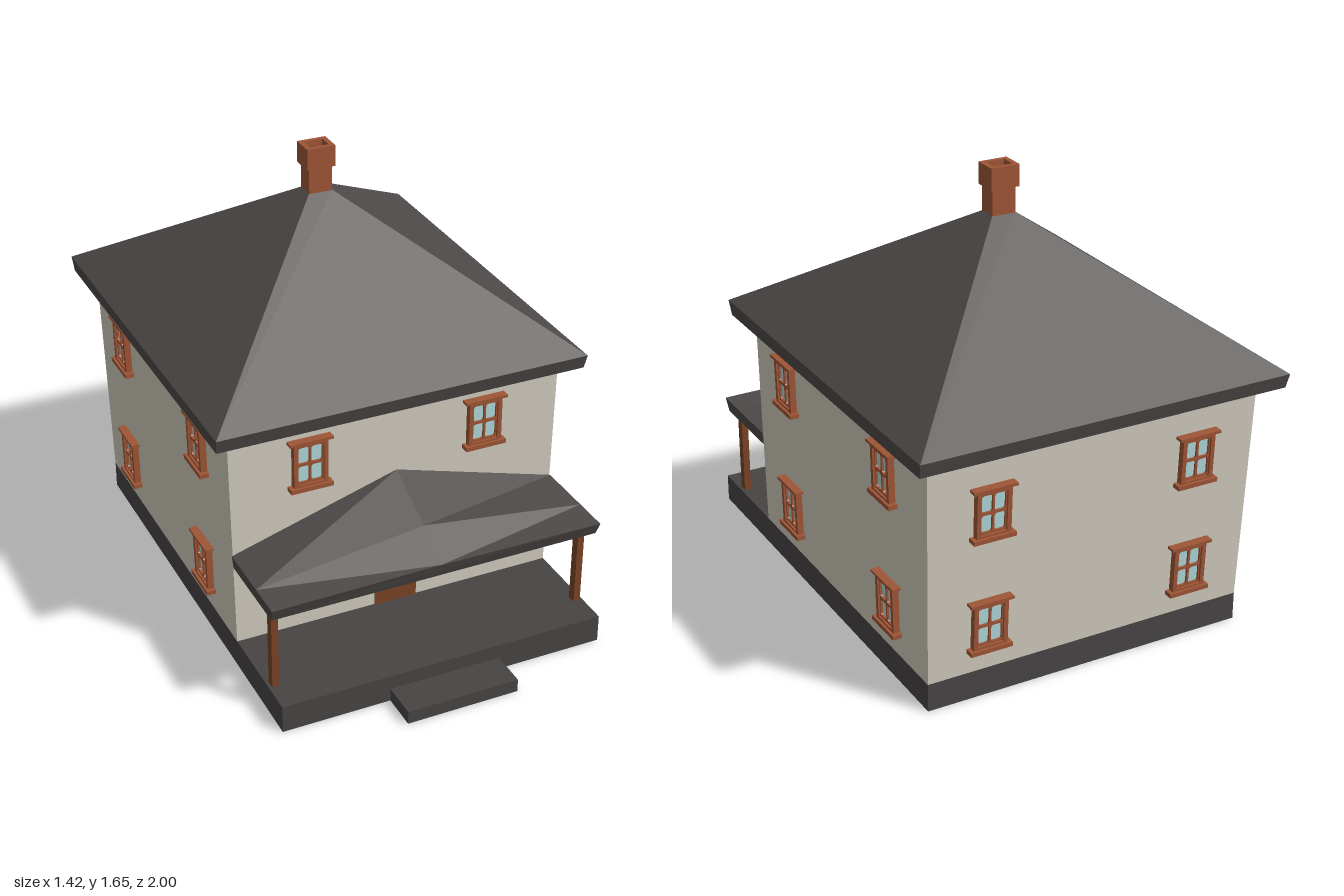
import * as THREE from 'three';

const mat = (name, color, side = THREE.FrontSide) => {
  const m = new THREE.MeshStandardMaterial({ color, side });
  m.name = name;
  return m;
};

// rounded rectangle outline, usable as a shape or a hole
function roundRect(target, cx, cy, hw, hh, r = 0) {
  const x0 = cx - hw, x1 = cx + hw, y0 = cy - hh, y1 = cy + hh;
  target.moveTo(x0 + r, y0);
  target.lineTo(x1 - r, y0);
  if (r) target.quadraticCurveTo(x1, y0, x1, y0 + r);
  target.lineTo(x1, y1 - r);
  if (r) target.quadraticCurveTo(x1, y1, x1 - r, y1);
  target.lineTo(x0 + r, y1);
  if (r) target.quadraticCurveTo(x0, y1, x0, y1 - r);
  target.lineTo(x0, y0 + r);
  if (r) target.quadraticCurveTo(x0, y0, x0 + r, y0);
  return target;
}

// flat plate with holes, extruded along +z; holes are [cx, cy, hw, hh, r]
function plate(hw, hh, depth, holes) {
  const shape = roundRect(new THREE.Shape(), 0, 0, hw, hh);
  for (const h of holes) shape.holes.push(roundRect(new THREE.Path(), ...h));
  return new THREE.ExtrudeGeometry(shape, { depth, bevelEnabled: false, curveSegments: 3 });
}

// flat-faced geometry from corner polygons, counter-clockwise from outside
function faceted(polygons) {
  const pos = [];
  for (const p of polygons)
    for (let i = 1; i < p.length - 1; i++) pos.push(...p[0], ...p[i], ...p[i + 1]);
  const g = new THREE.BufferGeometry();
  g.setAttribute('position', new THREE.Float32BufferAttribute(pos, 3));
  g.computeVertexNormals();
  return g;
}

// closed loft through rectangles [halfWidth, y, zBack, zFront], bottom to top
function loft(levels) {
  const rings = levels.map(([x, y, z0, z1]) => [[-x, y, z1], [x, y, z1], [x, y, z0], [-x, y, z0]]);
  const polys = [[...rings[0]].reverse(), rings[rings.length - 1]];
  for (let k = 0; k < rings.length - 1; k++)
    for (let i = 0; i < 4; i++) {
      const j = (i + 1) % 4;
      polys.push([rings[k][i], rings[k][j], rings[k + 1][j], rings[k + 1][i]]);
    }
  return faceted(polys);
}

export function createModel() {
  const house = new THREE.Group();
  house.name = 'house';
  const siding = mat('siding', 0xd2ccbe);
  const shingle = mat('shingle', 0x4e4a49);
  const stone = mat('stone', 0x474444);
  const brick = mat('brick', 0x9e5535);
  const wood = mat('wood', 0x7a4426);
  const glass = mat('glass', 0xb0d8da);
  const metal = mat('metal', 0xb4b0aa);

  const add = (parent, name, geometry, material, x = 0, y = 0, z = 0) => {
    const m = new THREE.Mesh(geometry, material);
    m.name = name;
    m.position.set(x, y, z);
    parent.add(m);
    return m;
  };
  const box = (w, h, d) => new THREE.BoxGeometry(w, h, d);

  // base, step and walls that lean out slightly at the sides and back
  add(house, 'foundation', box(1.25, 0.105, 1.735), stone, 0, 0.0525, -0.0075);
  add(house, 'frontStep', box(0.43, 0.05, 0.14), stone, 0, 0.025, 0.93);
  add(house, 'walls', loft([[0.625, 0.105, -0.875, 0.45], [0.64, 0.945, -0.91, 0.45]]), siding);

  // hipped main roof with soffit and fascia
  add(house, 'mainRoof', loft([
    [0.64, 0.938, -0.91, 0.45],
    [0.705, 0.95, -0.985, 0.52],
    [0.71, 1.005, -1, 0.535],
    [0.045, 1.475, -0.27, -0.2],
  ]), shingle);

  // hollow chimney with a wider cap
  const chimney = new THREE.Group();
  chimney.name = 'chimney';
  chimney.position.z = -0.235;
  house.add(chimney);
  add(chimney, 'chimneyStack', box(0.09, 0.14, 0.074), brick, 0, 1.505, 0);
  const cap = plate(0.055, 0.046, 0.08, [[0, 0, 0.036, 0.028]]).rotateX(-Math.PI / 2);
  add(chimney, 'chimneyCap', cap, brick, 0, 1.57, 0);

  // porch roof: gabled against the wall, folding down to the front eave
  const peak = [0, 0.665, 0.45], fold = [0, 0.56, 0.67], lip = [0, 0.482, 0.81];
  const eave = (s, z) => [s * 0.635, 0.475, z];
  const base = (s, z) => [s * 0.63, 0.425, z];
  const porchFaces = [
    [base(-1, 0.79), base(-1, 0.45), base(1, 0.45), base(1, 0.79)],
    [base(-1, 0.79), base(1, 0.79), eave(1, 0.81), lip, eave(-1, 0.81)],
    [base(1, 0.45), base(-1, 0.45), eave(-1, 0.45), peak, eave(1, 0.45)],
  ];
  for (const s of [-1, 1]) {
    const half = [
      [eave(s, 0.45), peak, fold, eave(s, 0.67)],
      [eave(s, 0.67), fold, lip],
      [eave(s, 0.67), lip, eave(s, 0.81)],
      [base(s, 0.45), eave(s, 0.45), eave(s, 0.67), eave(s, 0.81), base(s, 0.79)],
    ];
    for (const f of half) porchFaces.push(s > 0 ? f : f.reverse());
  }
  add(house, 'porchRoof', faceted(porchFaces), shingle);
  for (const s of [-1, 1])
    add(house, 'porchPost', box(0.026, 0.325, 0.034), wood, s * 0.6, 0.2665, 0.727);

  // front door
  add(house, 'door', box(0.166, 0.28, 0.008), wood, 0, 0.245, 0.452);
  add(house, 'doorLintel', box(0.17, 0.006, 0.014), wood, 0, 0.386, 0.455);
  add(house, 'doorHandle', box(0.045, 0.014, 0.008), metal, -0.037, 0.25, 0.459);

  // window parts, shared by every window
  const casing = plate(0.065, 0.09, 0.024, [[0, 0, 0.049, 0.076]]);
  const panes = [];
  for (const sx of [-1, 1])
    for (const sy of [-1, 1]) panes.push([sx * 0.0245, sy * 0.037, 0.0205, 0.032, 0.01]);
  const sash = plate(0.05, 0.077, 0.016, panes);
  const pane = box(0.098, 0.152, 0.008);
  const sill = box(0.16, 0.016, 0.036);
  const header = box(0.164, 0.01, 0.034);

  function addWindow(x, y, z, turn, lean) {
    const w = new THREE.Group();
    w.name = 'window';
    w.position.set(x, y, z);
    w.rotation.set(lean, turn, 0, 'YXZ');
    add(w, 'windowCasing', casing, brick);
    add(w, 'windowSash', sash, brick);
    add(w, 'windowGlass', pane, glass, 0, 0, 0.004);
    add(w, 'windowSill', sill, brick, 0, -0.092, 0.016);
    add(w, 'windowHeader', header, brick, 0, 0.093, 0.015);
    house.add(w);
  }

  // upper front pair, two floors on each side, two floors at the back
  for (const s of [-1, 1]) {
    addWindow(s * 0.34, 0.788, 0.45, 0, 0);
    for (const y of [0.288, 0.788])
      for (const z of [0.175, -0.61])
        addWindow(s * (0.625 + (y - 0.105) * 0.0179), y, z, s * Math.PI / 2, 0.018);
    for (const y of [0.288, 0.722])
      addWindow(s * 0.4, y, -0.875 - (y - 0.105) * 0.0417, Math.PI, 0.042);
  }
  return house;
}
